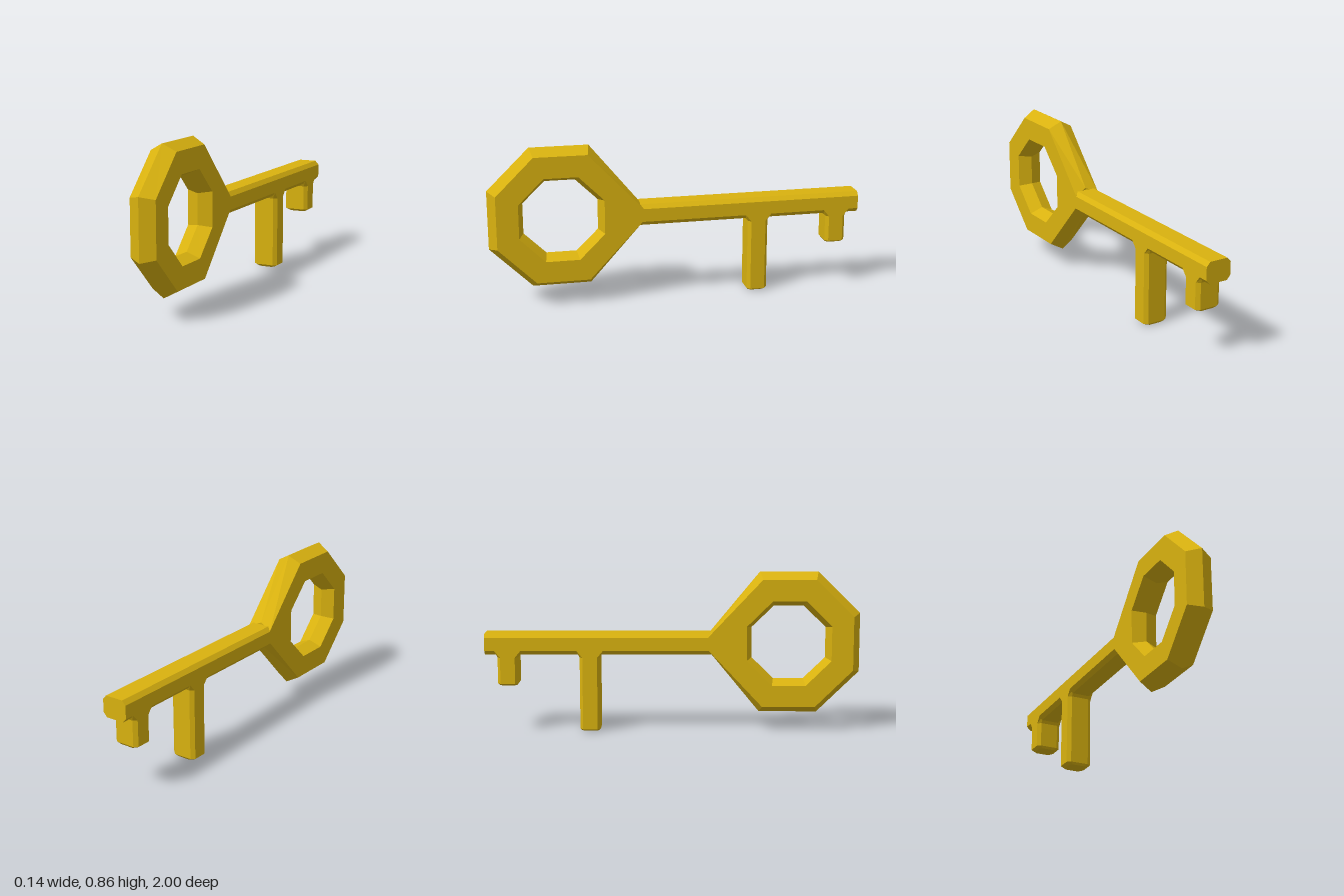
import * as THREE from 'three';

// Skin a list of equal-length rings of [x, y, z] points with flat faces.
function loft(rings, capped) {
  const n = rings[0].length, pos = [];
  const tri = (a, b, c) => pos.push(...a, ...b, ...c);
  for (let i = 0; i < rings.length - 1; i++) {
    for (let j = 0; j < n; j++) {
      const k = (j + 1) % n, r = rings[i], s = rings[i + 1];
      tri(r[j], r[k], s[k]);
      tri(r[j], s[k], s[j]);
    }
  }
  if (capped) {
    const first = rings[0], last = rings[rings.length - 1];
    for (let j = 1; j < n - 1; j++) {
      tri(first[0], first[j + 1], first[j]);
      tri(last[0], last[j], last[j + 1]);
    }
  }
  const geo = new THREE.BufferGeometry();
  geo.setAttribute('position', new THREE.Float32BufferAttribute(pos, 3));
  geo.computeVertexNormals();
  return geo;
}

// Chamfered rectangle: half sizes w, h with flats of half length fw, fh.
const chamfered = (w, h, fw, fh) => [
  [w, -fh], [w, fh], [fw, h], [-fw, h], [-w, fh], [-w, -fh], [-fw, -h], [fw, -h],
];

export function createModel() {
  const group = new THREE.Group();
  const brass = new THREE.MeshStandardMaterial({ color: 0xd9b20f });
  brass.name = 'brass yellow';
  brass.flatShading = true;
  const add = (name, geo) => {
    const mesh = new THREE.Mesh(geo, brass);
    mesh.name = name;
    group.add(mesh);
  };

  const T = 0.07; // half thickness
  const midY = 0.477;

  // Bow: upper-half outlines as [z, height above centre], mirrored below
  const outline = (half, x) =>
    [...half, ...half.slice().reverse().map(([z, h]) => [z, -h])]
      .map(([z, h]) => [x, midY + h, z]);
  const outerSide = [[0.96, 0.143], [0.76, 0.341], [0.478, 0.341], [0.19, 0.035]];
  const outerRidge = [[1, 0.158], [0.775, 0.379], [0.465, 0.379], [0.205, 0.063]];
  const innerSide = [[0.845, 0.092], [0.71, 0.226], [0.53, 0.226], [0.395, 0.092]];
  const innerRidge = [[0.817, 0.082], [0.7, 0.196], [0.54, 0.196], [0.423, 0.082]];
  add('bow', loft([
    outline(outerSide, T), outline(outerRidge, 0), outline(outerSide, -T),
    outline(innerSide, -T), outline(innerRidge, 0), outline(innerSide, T),
    outline(outerSide, T),
  ], false));

  // Shaft: chamfered bar from the tip into the neck of the bow
  const shaftRing = z => chamfered(T, 0.057, 0.05, 0.035).map(([x, y]) => [x, 0.473 + y, z]);
  add('shaft', loft([shaftRing(-1), shaftRing(0.22)], true));

  // Teeth: chamfered posts that flare where they meet the shaft
  const tooth = (name, z, bottom) => {
    const ring = (y, w, d, fw, fd) => chamfered(w, d, fw, fd).map(([x, dz]) => [x, y, z + dz]);
    add(name, loft([
      ring(0.44, T, 0.077, 0.05, 0.072),
      ring(0.4, T, 0.055, 0.05, 0.039),
      ring(bottom + 0.012, T, 0.055, 0.05, 0.039),
      ring(bottom, 0.05, 0.045, 0.035, 0.03),
    ], true));
  };
  tooth('longTooth', -0.44, 0);
  tooth('shortTooth', -0.878, 0.247);

  return group;
}
